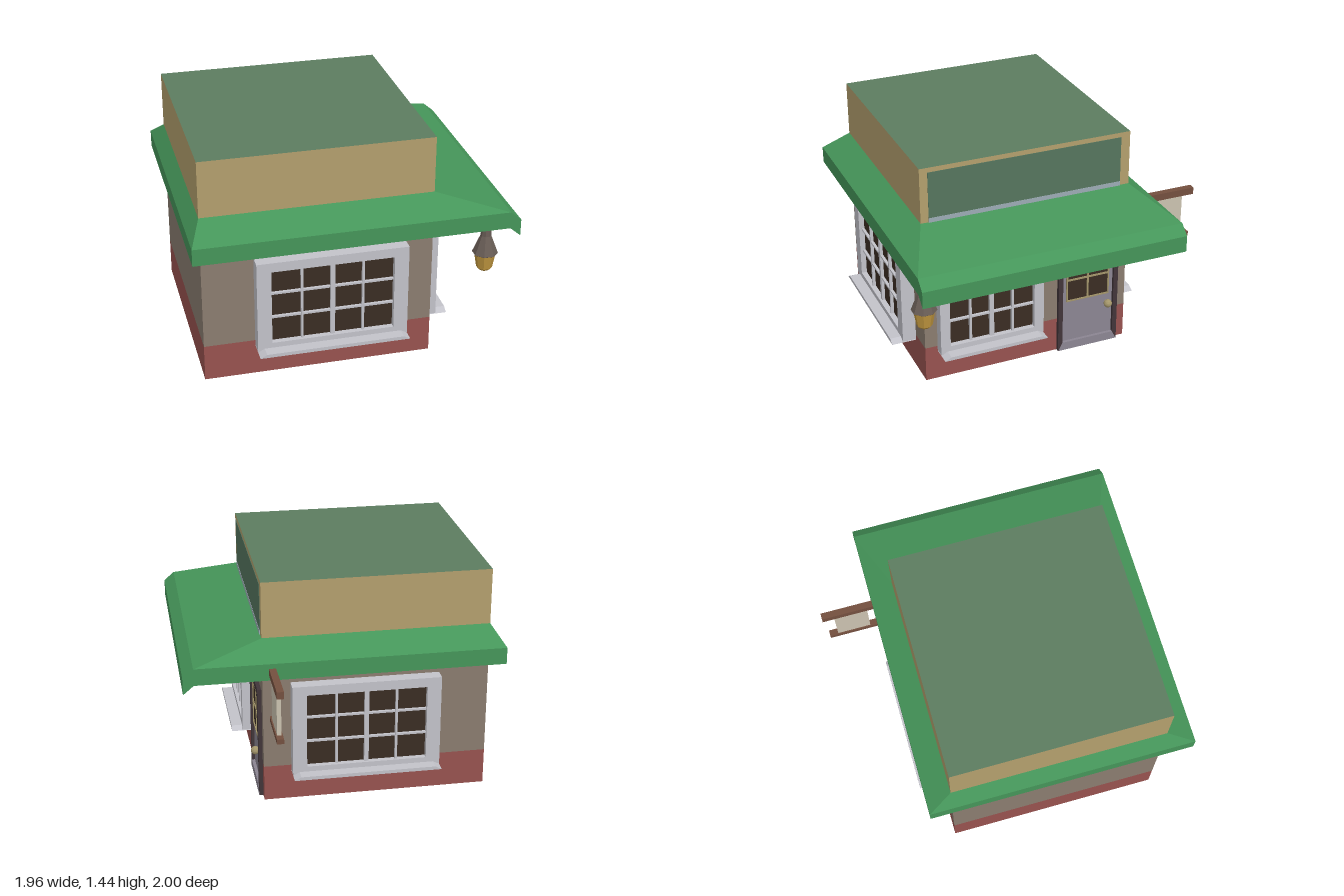
import * as THREE from 'three';

const mat = (color, side = THREE.FrontSide) =>
  new THREE.MeshStandardMaterial({ color, flatShading: true, side });

const M = {
  wall: mat(0x8a7c6f), brick: mat(0x97524f), tan: mat(0xb39f6d), roof: mat(0x5c7c60),
  green: mat(0x459559), under: mat(0x35502f), frame: mat(0xc2c2c9), glass: mat(0x3a2d23),
  panel: mat(0x55755e), strip: mat(0x9cabb4), door: mat(0x8b8592), jamb: mat(0x413539),
  brass: mat(0xa3956a), wood: mat(0x74503f), cloth: mat(0xcbc2b0), iron: mat(0x695d56),
  lamp: mat(0xc0963f),
};

function add(parent, name, geo, material, x = 0, y = 0, z = 0) {
  const mesh = new THREE.Mesh(geo, material);
  mesh.name = name;
  mesh.position.set(x, y, z);
  parent.add(mesh);
  return mesh;
}

// Box given by its min and max on each axis
const span = (parent, name, material, [x0, x1], [y0, y1], [z0, z1]) =>
  add(parent, name, new THREE.BoxGeometry(x1 - x0, y1 - y0, z1 - z0), material,
    (x0 + x1) / 2, (y0 + y1) / 2, (z0 + z1) / 2);

const polygon = (pts) => new THREE.Shape(pts.map(([x, y]) => new THREE.Vector2(x, y)));
const extrude = (shape, depth) => new THREE.ExtrudeGeometry(shape, { depth, bevelEnabled: false });
const rect = (x0, x1, y0, y1) => polygon([[x0, y0], [x1, y0], [x1, y1], [x0, y1]]);

// Skin between rectangular rings [x0, x1, z0, z1, y], listed from the top outward and down
function rings(list) {
  const pos = [];
  const corners = ([x0, x1, z0, z1, y]) => [[x0, y, z1], [x1, y, z1], [x1, y, z0], [x0, y, z0]];
  for (let r = 0; r + 1 < list.length; r++) {
    const a = corners(list[r]), b = corners(list[r + 1]);
    for (let i = 0; i < 4; i++) {
      const j = (i + 1) % 4;
      pos.push(...a[i], ...b[i], ...b[j], ...a[i], ...b[j], ...a[j]);
    }
  }
  const geo = new THREE.BufferGeometry();
  geo.setAttribute('position', new THREE.Float32BufferAttribute(pos, 3));
  geo.computeVertexNormals();
  return geo;
}

// Box bay window facing +z: w frame width, ow opening width, d frame depth, sd sill depth
function bayWindow(name, w, ow, d, sd) {
  const g = new THREE.Group();
  g.name = name;
  const h = w / 2, o = ow / 2, y0 = 0.25, y1 = 0.73;
  const shape = rect(-h, h, 0.2, 0.79);
  shape.holes.push(rect(-o, o, y0, y1));
  add(g, 'windowFrame', extrude(shape, d), M.frame);
  add(g, 'windowSill',
    extrude(polygon([[-h, 0.195], [h, 0.195], [h - 0.04, 0.217], [-h + 0.04, 0.217]]), sd), M.frame);
  span(g, 'windowGlass', M.glass, [-o, o], [y0, y1], [0, d - 0.035]);
  for (const i of [-1, 0, 1]) {
    const x = i * ow * 0.25, t = i ? 0.007 : 0.014;
    span(g, 'verticalMuntin', M.frame, [x - t, x + t], [y0, y1], [d - 0.036, d - 0.015]);
  }
  for (const y of [0.415, 0.575])
    span(g, 'horizontalMuntin', M.frame, [-o, o], [y - 0.006, y + 0.006], [d - 0.036, d - 0.017]);
  return g;
}

// Door facing +z, centred on x = 0
function door() {
  const g = new THREE.Group();
  g.name = 'door';
  add(g, 'doorFrame', extrude(polygon([[-0.205, 0], [-0.175, 0], [-0.175, 0.685], [0.175, 0.685],
    [0.175, 0], [0.205, 0], [0.205, 0.725], [-0.205, 0.725]]), 0.025), M.jamb);
  span(g, 'doorLeaf', M.door, [-0.175, 0.175], [0, 0.685], [0, 0.006]);
  add(g, 'threshold',
    extrude(polygon([[-0.203, 0], [0.203, 0], [0.175, 0.055], [-0.175, 0.055]]), 0.026), M.door);
  span(g, 'doorGlass', M.glass, [-0.14, 0.14], [0.35, 0.64], [0, 0.009]);
  const trim = rect(-0.147, 0.147, 0.343, 0.647);
  trim.holes.push(rect(-0.138, 0.138, 0.352, 0.638));
  add(g, 'doorGlassTrim', extrude(trim, 0.016), M.brass);
  span(g, 'doorMuntin', M.brass, [-0.006, 0.006], [0.35, 0.64], [0, 0.014]);
  span(g, 'doorMuntin', M.brass, [-0.14, 0.14], [0.489, 0.501], [0, 0.014]);
  const stem = add(g, 'knobStem', new THREE.CylinderGeometry(0.01, 0.01, 0.03, 8), M.brass, 0.133, 0.282, 0.018);
  stem.rotation.x = Math.PI / 2;
  add(g, 'knob', new THREE.SphereGeometry(0.027, 12, 8), M.brass, 0.133, 0.282, 0.038);
  return g;
}

// Eight-sided hanging lantern
function lantern() {
  const g = new THREE.Group();
  g.name = 'lantern';
  const turn = (name, pts, material) => {
    const geo = new THREE.LatheGeometry(pts.map(([r, y]) => new THREE.Vector2(r, y)), 8, Math.PI / 8);
    add(g, name, geo, material);
  };
  turn('lanternCap', [[0, 0.69], [0.062, 0.69], [0.077, 0.7], [0.032, 0.815], [0.026, 0.9]], M.iron);
  turn('lanternGlass', [[0, 0.582], [0.03, 0.585], [0.048, 0.602], [0.064, 0.692]], M.lamp);
  g.position.set(0.787, 0, 0.929);
  return g;
}

export function createModel() {
  const g = new THREE.Group();
  g.name = 'cornerShop';
  const X = [-0.91, 0.49], Z = [-0.52, 0.83];

  // Building body
  span(g, 'brickBase', [M.brick, M.brick, M.brick, M.wall, M.brick, M.brick], X, [0, 0.23], Z);
  span(g, 'walls', M.wall, X, [0.23, 1], Z);
  span(g, 'parapet', [M.tan, M.tan, M.roof, M.tan, M.tan, M.tan], X, [1, 1.44], Z);
  span(g, 'signBoard', M.panel, [0.48, 0.493], [1.115, 1.41], [-0.46, 0.78]);
  span(g, 'signBoardLedge', M.strip, [0.48, 0.495], [1.08, 1.117], [-0.46, 0.78]);

  // Awning with a drooping lip on the door side
  const edge = [-0.98, 0.91, -0.67, 1];
  add(g, 'awning', rings([[...X, ...Z, 1.09], [...edge, 0.985], [...edge, 0.88]]), M.green);
  add(g, 'awningUnderside', rings([[...edge, 0.88], [...X, ...Z, 0.855]]), M.under);
  add(g, 'awningLip', extrude(polygon([[0.91, 0.88], [0.975, 0.825], [0.975, 0.93], [0.91, 0.985]]), 1.67),
    M.green, 0, 0, -0.67);

  // Windows and door
  const front = bayWindow('frontWindow', 0.92, 0.745, 0.085, 0.155);
  front.position.set(-0.14, 0, 0.83);
  const back = bayWindow('backWindow', 0.92, 0.745, 0.08, 0.15);
  back.position.set(-0.14, 0, -0.52);
  back.rotation.y = Math.PI;
  const side = bayWindow('sideWindow', 0.68, 0.555, 0.065, 0.135);
  side.position.set(0.49, 0, 0.41);
  const entry = door();
  entry.position.set(0.49, 0, -0.255);
  side.rotation.y = entry.rotation.y = Math.PI / 2;
  g.add(front, back, side, entry, lantern());

  // Hanging sign behind the awning
  span(g, 'signBracket', M.wood, [0.424, 0.466], [0.91, 0.955], [-1, -0.65]);
  span(g, 'hangingSign', M.cloth, [0.432, 0.458], [0.64, 0.912], [-0.925, -0.71]);
  span(g, 'signBottomRail', M.wood, [0.424, 0.466], [0.615, 0.645], [-0.98, -0.665]);
  return g;
}
